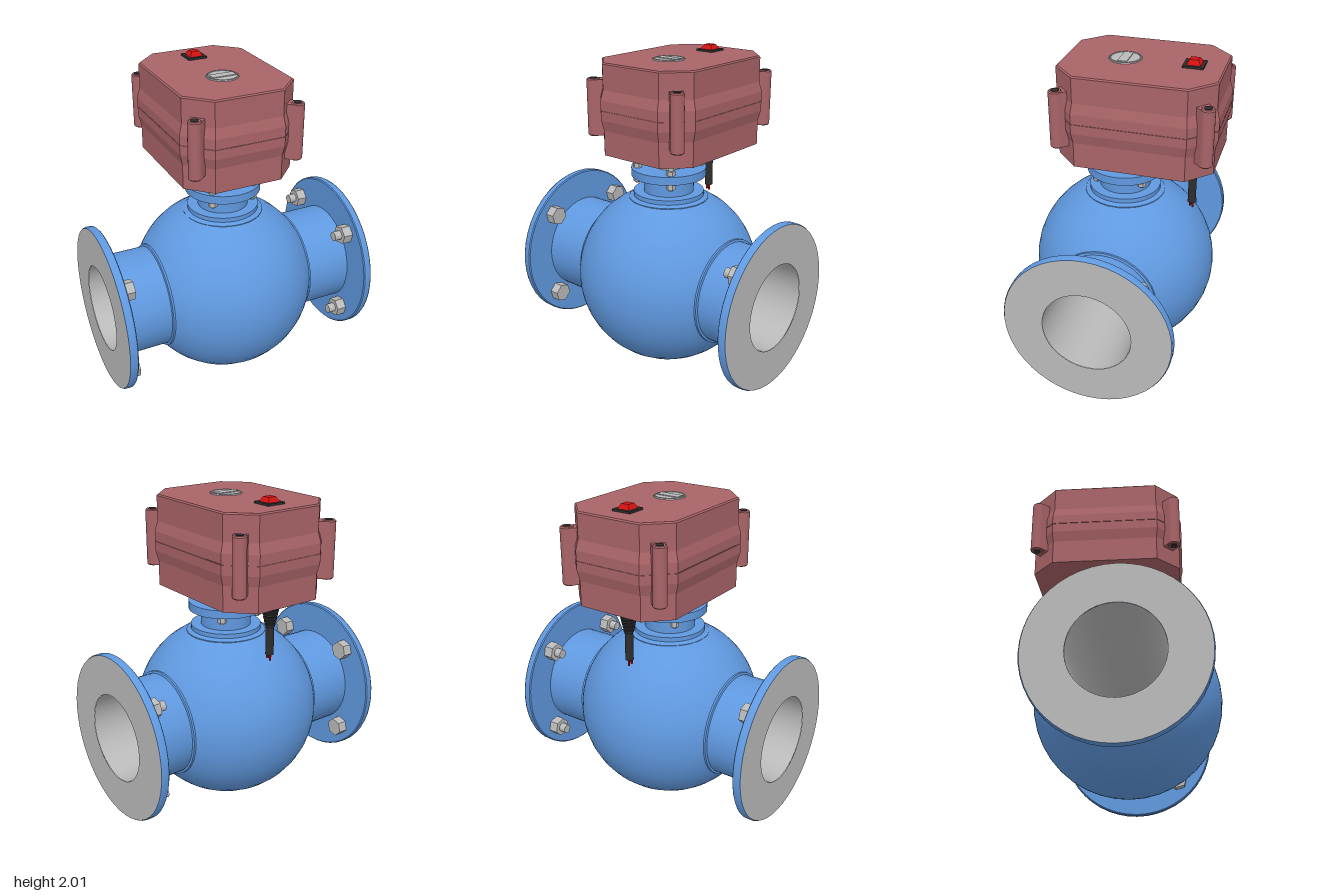
import * as THREE from 'three';
import { toCreasedNormals } from 'three/addons/utils/BufferGeometryUtils.js';

const mat = (name, color, side = THREE.FrontSide) => {
  const m = new THREE.MeshStandardMaterial({ color, side });
  m.name = name;
  return m;
};

export function createModel() {
  const blue = mat('blue paint', 0x6099e0);
  const brown = mat('dull red housing', 0xa96468);
  const steel = mat('steel grey', 0xbababa, THREE.DoubleSide);
  const black = mat('black plastic', 0x2e2e2e);
  const red = mat('signal red', 0xd41212);

  const CX = 0.005, CZ = 0.012, CY = 0.574; // valve axis
  const model = new THREE.Group();
  model.name = 'motorisedBallValve';

  const add = (name, geo, material, x = 0, y = 0, z = 0, parent = model) => {
    const mesh = new THREE.Mesh(geo, material);
    mesh.name = name;
    mesh.position.set(x, y, z);
    parent.add(mesh);
    return mesh;
  };
  const crease = (geo, angle = 0.6) => toCreasedNormals(geo, angle);
  const lathe = (pts, seg = 48) =>
    crease(new THREE.LatheGeometry(pts.map(([r, y]) => new THREE.Vector2(r, y)), seg));
  const cyl = (r, h, seg = 24, rTop = r) => crease(new THREE.CylinderGeometry(rTop, r, h, seg));
  // upright cylinder given by its bottom and top heights
  const post = (name, r, y0, y1, material, x, z, seg = 24, rTop = r) =>
    add(name, cyl(r, y1 - y0, seg, rTop), material, x, (y0 + y1) / 2, z);

  // Ball body with pipe stubs, revolved about the x axis
  const R = 0.58, profile = [[0.32, -0.79], [0.32, -0.49], [0.334, -0.486], [0.334, -0.475]];
  const a0 = Math.acos(0.474 / R);
  for (let i = 0; i <= 24; i++) {
    const a = a0 + (Math.PI - 2 * a0) * i / 24;
    profile.push([R * Math.sin(a), -R * Math.cos(a)]);
  }
  profile.push([0.334, 0.475], [0.334, 0.486], [0.32, 0.49], [0.32, 0.79]);
  add('ballBody', lathe(profile, 40).rotateZ(-Math.PI / 2), blue, CX - 0.003, CY, CZ);
  add('bore', new THREE.CylinderGeometry(0.273, 0.273, 1.66, 40, 1, true).rotateZ(Math.PI / 2),
    steel, 0, CY, CZ);

  // End flanges with grey sealing faces and bolts on the inner side
  for (const s of [-1, 1]) {
    const flange = new THREE.Group();
    flange.name = s > 0 ? 'leftFlange' : 'rightFlange';
    flange.position.set(0, CY, CZ);
    model.add(flange);
    const rim = lathe([[0.3, -0.026], [0.512, -0.026], [0.519, -0.02], [0.519, 0.016], [0.513, 0.025],
      [0.273, 0.025]], 48);
    add('flangeDisc', rim.rotateZ(-s * Math.PI / 2), blue, s * 0.806, 0, 0, flange);
    add('sealingFace', new THREE.RingGeometry(0.273, 0.513, 48).rotateY(s * Math.PI / 2), steel,
      s * 0.833, 0, 0, flange);
    for (const sy of [-1, 1]) for (const sz of [-1, 1]) {
      const hex = cyl(0.062, 0.064, 6).rotateY(Math.PI / 12).rotateZ(Math.PI / 2);
      add('flangeBoltHex', hex, steel, s * 0.749, sy * 0.288, sz * 0.291 - 0.005, flange);
      if (s > 0) add('flangeBoltEnd', cyl(0.03, 0.05, 16).rotateZ(Math.PI / 2), steel,
        0.694, sy * 0.288, sz * 0.291 - 0.005, flange);
    }
  }

  // Neck, mounting plate and stem
  add('neck', lathe([[0.25, 1.07], [0.25, 1.1], [0.222, 1.112], [0.222, 1.14], [0.158, 1.14], [0.158, 1.245]]),
    blue, CX, 0, CZ);
  post('mountingPlate', 0.235, 1.242, 1.294, blue, CX, CZ, 48);
  post('stem', 0.092, 1.29, 1.41, steel, CX, CZ, 32);
  for (const sx of [-1, 1]) for (const sz of [-1, 1]) {
    const x = CX + sx * 0.134, z = CZ + sz * 0.142;
    post('plateStud', 0.015, 1.195, 1.41, steel, x, z, 12);
    post('lowerNut', 0.028, 1.205, 1.242, steel, x, z, 6);
    post('upperNut', 0.028, 1.294, 1.322, steel, x, z, 6);
    post('topNut', 0.028, 1.38, 1.404, steel, x, z, 6);
  }

  // Actuator housing: cut-corner outline lofted through [height, outset] sections
  const loft = (sections) => {
    const ring = ([y, o]) => {
      const w = 0.354 + o, d = 0.468 + o, c = 0.14 + 0.6 * o;
      return [[w, d - c], [w, c - d], [w - c, -d], [c - w, -d], [-w, c - d], [-w, d - c], [c - w, d], [w - c, d]]
        .map(([x, z]) => [x, y, z]);
    };
    const rings = sections.map(ring), pos = [];
    const tri = (...p) => p.forEach((v) => pos.push(...v));
    for (let k = 0; k + 1 < rings.length; k++) for (let i = 0; i < 8; i++) {
      const j = (i + 1) % 8, lo = rings[k], hi = rings[k + 1];
      tri(lo[i], lo[j], hi[j]);
      tri(lo[i], hi[j], hi[i]);
    }
    const bottom = rings[0], top = rings[rings.length - 1];
    for (let i = 1; i < 7; i++) {
      tri(top[0], top[i], top[i + 1]);
      tri(bottom[0], bottom[i + 1], bottom[i]);
    }
    const geo = new THREE.BufferGeometry();
    geo.setAttribute('position', new THREE.Float32BufferAttribute(pos, 3));
    geo.computeVertexNormals();
    return geo;
  };
  const HX = 0.006, HZ = -0.108;
  add('housingBase', loft([[1.402, 0], [1.555, 0], [1.62, 0.017], [1.677, 0.017]]), brown, HX, 0, HZ);
  add('housingSeam', loft([[1.676, 0.013], [1.682, 0.013]]), brown, HX, 0, HZ);
  add('housingCover', loft([[1.681, 0.017], [1.74, 0.017], [1.8, 0], [1.952, 0], [1.96, -0.008]]), brown, HX, 0, HZ);

  // Corner screw posts
  for (const sx of [-1, 1]) for (const sz of [-1, 1]) {
    const lug = new THREE.Group();
    lug.name = 'cornerScrewPost';
    lug.position.set(HX + sx * 0.323, 1.68, HZ + sz * 0.436);
    lug.rotation.y = -Math.atan2(sz, sx);
    model.add(lug);
    add('postColumn', lathe([[0, -0.175], [0.034, -0.175], [0.041, -0.168], [0.041, 0.168], [0.034, 0.175],
      [0, 0.175]], 20), brown, 0, 0, 0, lug);
    add('postWeb', new THREE.BoxGeometry(0.075, 0.34, 0.08), brown, -0.036, 0, 0, lug);
    for (const e of [-1, 1])
      add('screwRecess', cyl(0.023, 0.004, 16), black, 0, e * 0.176, 0, lug);
  }

  // Position indicator on the cover
  post('indicatorDisc', 0.1, 1.955, 1.964, steel, CX, 0.01, 40, 0.096);
  add('indicatorRing', new THREE.TorusGeometry(0.088, 0.004, 6, 40).rotateX(Math.PI / 2), steel, CX, 1.964, 0.01);
  add('indicatorBar', new THREE.BoxGeometry(0.15, 0.008, 0.055), steel, CX, 1.965, 0.01);

  // Rocker switch
  add('switchFrame', new THREE.BoxGeometry(0.122, 0.014, 0.122), black, CX, 1.965, -0.396);
  const rocker = new THREE.CylinderGeometry(0.036, 0.062, 0.03, 4).rotateY(Math.PI / 4).toNonIndexed();
  rocker.computeVertexNormals();
  add('switchRocker', rocker, red, CX, 1.985, -0.396);

  // Ribbed cable gland, cable and wire ends
  const gland = [[0, 1.235], [0.026, 1.235]];
  for (let i = 0; i < 6; i++) {
    const y = 1.24 + i * 0.022, r = 0.03 + i * 0.0045;
    gland.push([r, y], [r + 0.003, y + 0.013], [r - 0.006, y + 0.014], [r - 0.006, y + 0.021]);
  }
  gland.push([0.055, 1.375], [0.055, 1.41]);
  add('cableGland', lathe(gland, 24), black, 0, 0, -0.417);
  post('cable', 0.025, 1.06, 1.25, black, 0, -0.417, 20);
  for (const [x, z, y] of [[-0.009, -0.409, 1.03], [0.009, -0.409, 1.035], [0, -0.424, 1.02]])
    post('wireEnd', 0.007, y, 1.07, red, x, z, 8);

  return model;
}
